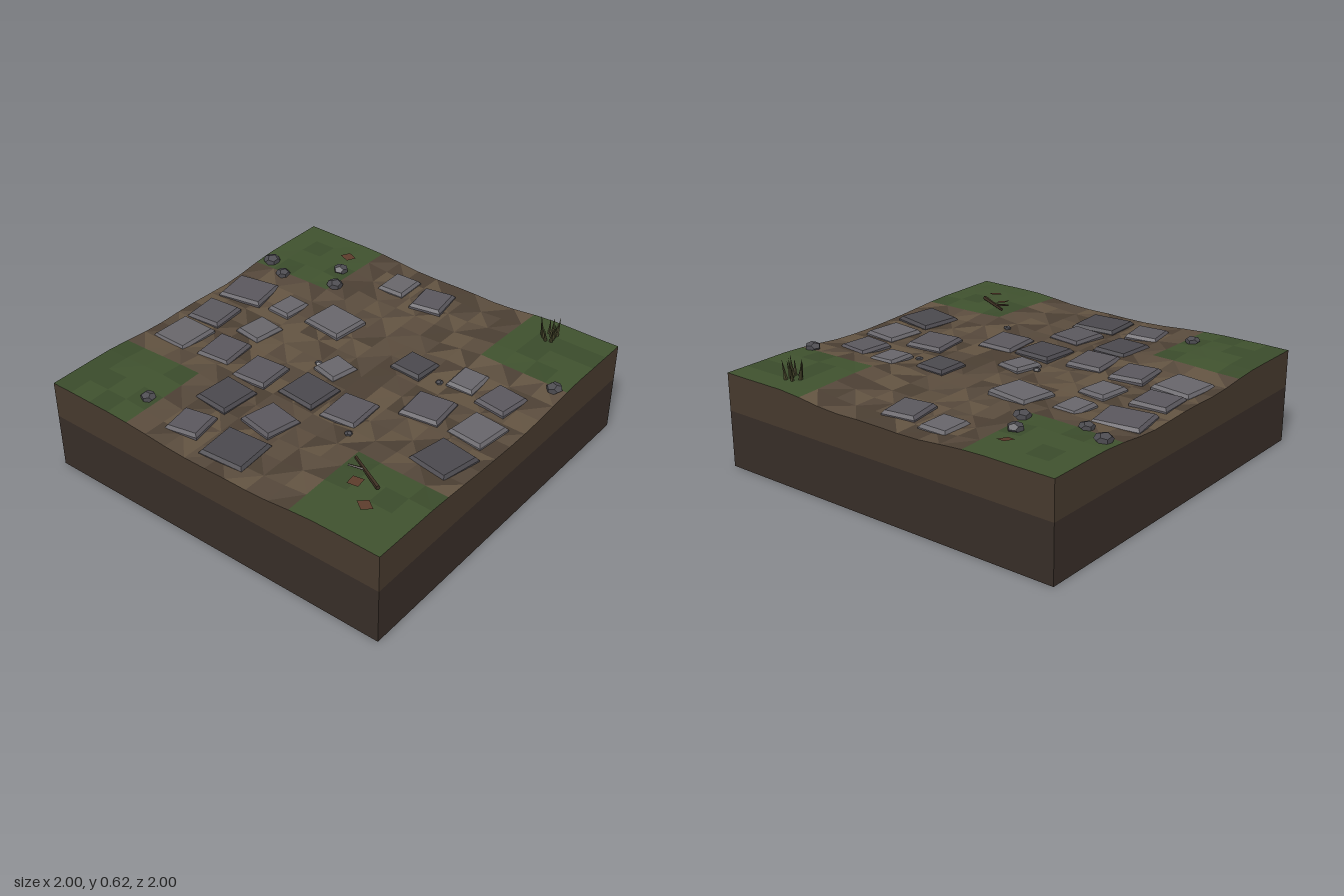
import * as THREE from 'three';

const mat = (color, side = THREE.FrontSide) => new THREE.MeshStandardMaterial({ color, side, flatShading: true, roughness: 1 });

function seeded(seed) {
  return () => {
    seed = (seed * 16807) % 2147483647;
    return seed / 2147483647;
  };
}

// Ground height: sunken crossing paths between four raised grassy corners
function groundHeight(x, z) {
  const m = Math.min(Math.abs(x), Math.abs(z));
  const bank = THREE.MathUtils.smoothstep(m, 0.2, 0.65);
  const wave = Math.sin(x * 9.1 + z * 4.3) * 0.003 + Math.sin(z * 11.7 - x * 5.9) * 0.003;
  const mound = Math.cos(x * Math.PI / 2) * Math.cos(z * Math.PI / 2) * 0.03;
  return 0.472 + bank * (0.028 + mound) + wave * (1 - bank * 0.6);
}

function addMesh(parent, name, geometry, material) {
  const mesh = new THREE.Mesh(geometry, material);
  mesh.name = name;
  parent.add(mesh);
  return mesh;
}

function triangles(points) {
  const g = new THREE.BufferGeometry();
  g.setAttribute('position', new THREE.Float32BufferAttribute(points, 3));
  g.computeVertexNormals();
  return g;
}

// Faceted surface, its triangles sorted into patches of a few shades
function buildGround(group) {
  const rnd = seeded(4177);
  const N = 16, step = 2 / N;
  const dirt = [0x4b3f33, 0x54473a, 0x5a4c3d, 0x625341].map(() => []);
  const dirtColors = [0x4b3f33, 0x54473a, 0x5a4c3d, 0x625341];
  const grass = [[], []], grassColors = [0x3a4b2b, 0x3f512e];
  const at = (i, j) => {
    const x = -1 + i * step, z = -1 + j * step;
    return [x, groundHeight(x, z), z];
  };
  for (let i = 0; i < N; i++) for (let j = 0; j < N; j++) {
    const a = at(i, j), b = at(i, j + 1), c = at(i + 1, j + 1), d = at(i + 1, j);
    const tris = (i + j) % 2 ? [[a, b, c], [a, c, d]] : [[a, b, d], [b, c, d]];
    const cx = Math.abs(a[0] + step / 2), cz = Math.abs(a[2] + step / 2);
    const shade = rnd() < 0.3 ? 0 : 1;
    for (const t of tris) {
      const bucket = cx > 0.5 && cz > 0.5 ? grass[shade] : dirt[Math.floor(rnd() * 4)];
      bucket.push(...t.flat());
    }
  }
  dirt.forEach((p, k) => addMesh(group, 'dirtPath' + k, triangles(p), mat(dirtColors[k])));
  grass.forEach((p, k) => addMesh(group, 'grassCorner' + k, triangles(p), mat(grassColors[k])));

  // Topsoil walls that follow the wavy rim
  const wall = [];
  const rim = [[-1, 1, 1, 0], [1, 1, 0, -1], [1, -1, -1, 0], [-1, -1, 0, 1]];
  for (const [x0, z0, dx, dz] of rim) for (let i = 0; i < N; i++) {
    const x = x0 + dx * i * step, z = z0 + dz * i * step;
    const u = x + dx * step, v = z + dz * step;
    const hx = groundHeight(x, z), hu = groundHeight(u, v);
    wall.push(x, 0.3, z, u, 0.3, v, u, hu, v, x, 0.3, z, u, hu, v, x, hx, z);
  }
  addMesh(group, 'topsoil', triangles(wall), mat(0x46392d));
  addMesh(group, 'subsoil', new THREE.BoxGeometry(2, 0.3, 2), mat(0x372d27)).position.y = 0.15;
}

// Paving slab with a chamfered top edge
function slabGeometry(w, d) {
  const h = 0.06, g = new THREE.BoxGeometry(w, h, d, 1, 2, 1), p = g.attributes.position;
  for (let i = 0; i < p.count; i++) {
    const y = p.getY(i);
    if (y > 0.01) {
      p.setX(i, p.getX(i) - Math.sign(p.getX(i)) * 0.013);
      p.setZ(i, p.getZ(i) - Math.sign(p.getZ(i)) * 0.013);
    } else if (y > -0.01) p.setY(i, 0.014);
  }
  return g;
}

// x, z, width, depth, turn in degrees, shade
const SLABS = [
  [-0.26, -0.83, 0.23, 0.22, 3, 2], [-0.02, -0.84, 0.2, 0.2, -4, 1], [0.26, -0.84, 0.22, 0.25, -10, 1],
  [-0.25, -0.56, 0.21, 0.19, -6, 1], [0.01, -0.55, 0.18, 0.16, 7, 2], [0.27, -0.57, 0.17, 0.14, 4, 2],
  [-0.8, -0.27, 0.18, 0.18, -10, 1], [-0.53, -0.29, 0.22, 0.2, 4, 0], [-0.28, -0.29, 0.21, 0.2, -4, 1],
  [0.3, -0.28, 0.21, 0.24, 7, 2], [0.81, -0.24, 0.18, 0.16, -1, 2], [-0.81, 0.02, 0.23, 0.25, -4, 0],
  [-0.55, 0.01, 0.2, 0.2, 10, 1], [-0.25, 0, 0.21, 0.22, 4, 0], [-0.02, -0.02, 0.16, 0.15, 12, 2],
  [0.78, 0, 0.2, 0.18, -10, 1], [-0.25, 0.25, 0.22, 0.2, -4, 1], [0.24, 0.28, 0.17, 0.18, 3, 0],
  [-0.01, 0.54, 0.21, 0.21, -7, 1], [0.3, 0.56, 0.17, 0.15, -2, 2], [-0.28, 0.82, 0.23, 0.23, 10, 0],
  [0, 0.82, 0.21, 0.2, 6, 2], [0.26, 0.78, 0.19, 0.18, 7, 1],
];

// x, z, radius
const ROCKS = [
  [0.55, -0.93, 0.047], [0.48, -0.79, 0.04], [0.56, -0.49, 0.045], [0.7, -0.56, 0.042], [-0.8, -0.55, 0.04],
  [0.48, 0.94, 0.043], [-0.03, -0.12, 0.02], [-0.41, 0.37, 0.02], [0.21, 0.45, 0.02],
];

// Tapered stick between two points
function stick(group, name, a, b, r0, r1, material) {
  const from = new THREE.Vector3(...a), dir = new THREE.Vector3(...b).sub(from);
  const mesh = addMesh(group, name, new THREE.CylinderGeometry(r1, r0, dir.length(), 5), material);
  mesh.position.copy(from).addScaledVector(dir, 0.5);
  mesh.quaternion.setFromUnitVectors(new THREE.Vector3(0, 1, 0), dir.normalize());
}

export function createModel() {
  const model = new THREE.Group();
  model.name = 'pathCrossingTile';
  const rnd = seeded(911);
  buildGround(model);

  // Paving slabs, each slightly tilted
  const stones = new THREE.Group();
  stones.name = 'pavingSlabs';
  const greys = [0x4a484d, 0x5a575d, 0x67656a].map((c) => mat(c));
  for (const [x, z, w, d, turn, shade] of SLABS) {
    const slab = addMesh(stones, 'pavingSlab', slabGeometry(w, d), greys[shade]);
    slab.position.set(x, groundHeight(x, z) - 0.007, z);
    slab.rotation.set((rnd() - 0.5) * 0.06, -turn * Math.PI / 180, (rnd() - 0.5) * 0.06);
  }

  // Loose rocks and pebbles
  const rocks = new THREE.Group();
  rocks.name = 'looseRocks';
  const rockMat = mat(0x4c4b50);
  for (const [x, z, r] of ROCKS) {
    const rock = addMesh(rocks, 'rock', new THREE.DodecahedronGeometry(r), rockMat);
    rock.scale.y = 0.6;
    rock.position.set(x, groundHeight(x, z) + r * 0.25, z);
    rock.rotation.y = rnd() * 6;
  }

  // Fallen leaves
  const leafMat = mat(0x5a3a2a, THREE.DoubleSide);
  for (const [x, z, turn] of [[0.83, -0.61, 0.4], [-0.69, 0.63, 1.0], [-0.79, 0.76, 0.1]]) {
    const leaf = addMesh(model, 'fallenLeaf', new THREE.CircleGeometry(0.043, 4).rotateX(-Math.PI / 2), leafMat);
    leaf.scale.x = 0.8;
    leaf.position.set(x, groundHeight(x, z) + 0.012, z);
    leaf.rotation.set(0.08, turn, 0.1);
  }

  // Twig with a side shoot
  const bark = mat(0x3c2f22);
  stick(model, 'twig', [-0.67, 0.525, 0.74], [-0.56, 0.525, 0.53], 0.012, 0.008, bark);
  stick(model, 'twigShoot', [-0.605, 0.525, 0.615], [-0.63, 0.53, 0.54], 0.007, 0.005, bark);

  // Tuft of dry grass blades
  const tuft = new THREE.Group();
  tuft.name = 'grassTuft';
  const bladeMat = mat(0x45442a);
  for (let i = 0; i < 9; i++) {
    const a = i * 2.4, r = 0.016 + 0.014 * (i % 3), x = 0.845 + Math.cos(a) * r, z = 0.69 + Math.sin(a) * r;
    stick(tuft, 'grassBlade', [x, 0.49, z],
      [x + Math.cos(a) * 0.018, 0.57 + rnd() * 0.06, z + Math.sin(a) * 0.018], 0.012, 0, bladeMat);
  }

  model.add(stones, rocks, tuft);
  return model;
}
